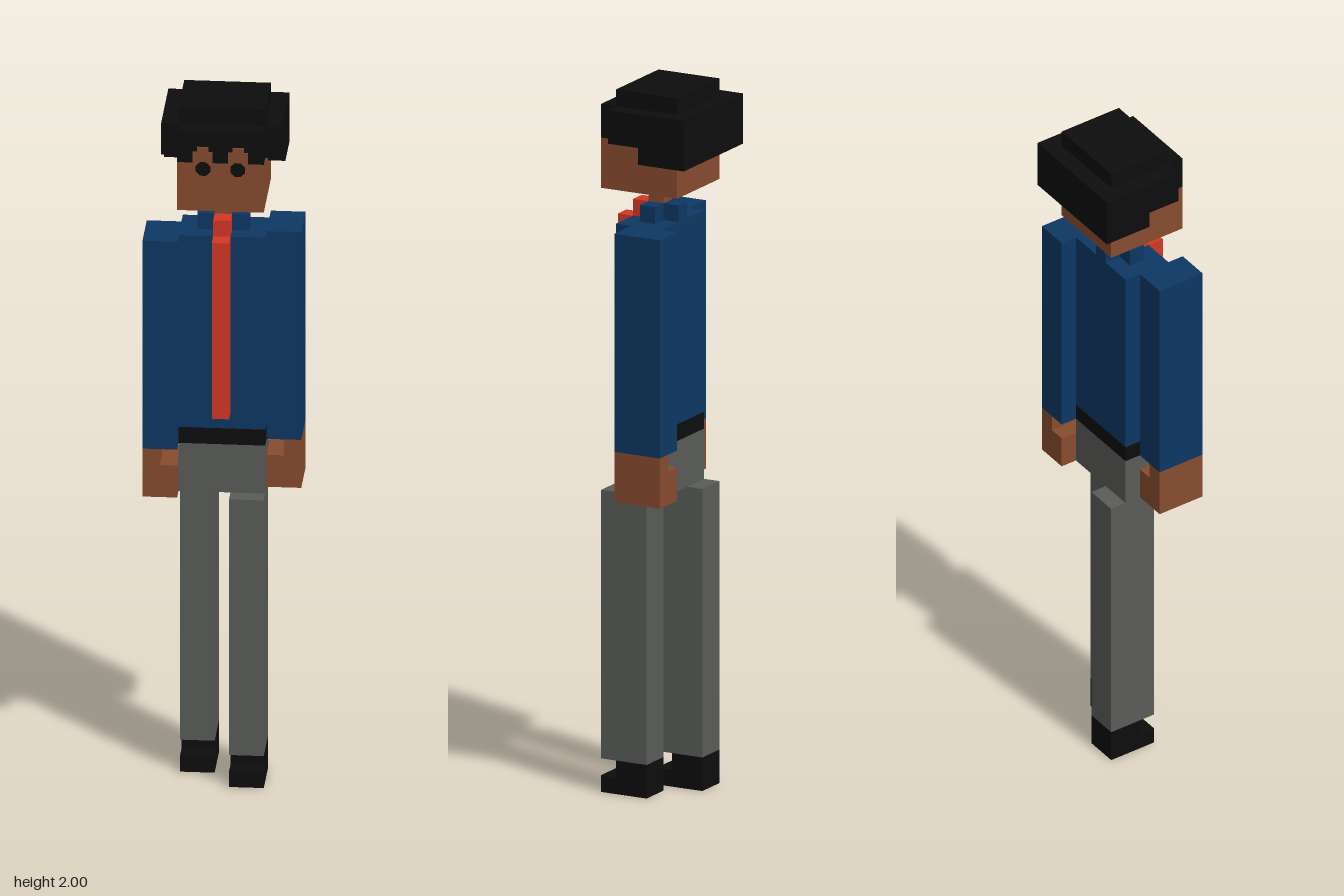
import * as THREE from 'three';

const U = 1 / 21; // one block of the grid

const material = (name, color) => {
  const m = new THREE.MeshStandardMaterial({ color });
  m.name = name;
  return m;
};

export function createModel() {
  const model = new THREE.Group();
  model.name = 'blockMan';

  const skin = material('skinBrown', 0x874c2f);
  const blue = material('shirtBlue', 0x0d3763);
  const red = material('tieRed', 0xd33725);
  const grey = material('trouserGrey', 0x5a5c59);
  const black = material('hairBlack', 0x0d0d0d);

  // Box between two corners, given in blocks
  const block = (name, mat, x0, x1, y0, y1, z0, z1, parent = model) => {
    const mesh = new THREE.Mesh(
      new THREE.BoxGeometry((x1 - x0) * U, (y1 - y0) * U, (z1 - z0) * U), mat);
    mesh.position.set((x0 + x1) / 2 * U, (y0 + y1) / 2 * U, (z0 + z1) / 2 * U);
    mesh.name = name;
    parent.add(mesh);
  };
  // Same, with x measured outwards on the given side
  const sided = (s, name, mat, a, b, ...rest) =>
    block(name, mat, Math.min(s * a, s * b), Math.max(s * a, s * b), ...rest);

  // Torso, belt and tie
  block('hips', grey, -2.5, 2.5, 18, 21, -1, 2);
  block('belt', black, -2.5, 2.5, 21, 22, -1, 2);
  block('torso', blue, -2.5, 2.5, 22, 34, -1, 2);
  block('tie', red, -0.5, 0.5, 23, 34, 2, 3);
  block('tieKnot', red, -0.5, 0.5, 34, 35, 1, 2);
  block('collarBack', blue, -0.5, 0.5, 34, 35, -1, 0);
  block('neck', skin, -0.5, 0.5, 34, 36, 0, 1);

  // Limbs in a walking pose: the left arm swings back, the left leg forward
  for (const s of [1, -1]) {
    const side = s > 0 ? 'left' : 'right';
    sided(s, side + 'Collar', blue, 0.5, 1.5, 34, 35, 0, 1);

    const armZ = s > 0 ? -2 : 0;
    const arm = new THREE.Group();
    arm.name = side + 'Arm';
    sided(s, 'sleeve', blue, 2.5, 4.5, 21, 34, armZ, armZ + 3, arm);
    sided(s, 'hand', skin, 3.5, 4.5, 18, 21, armZ, armZ + 3, arm);
    sided(s, 'fingers', skin, 2.5, 3.5, 18, 20, armZ, armZ + 3, arm);

    const legZ = s > 0 ? 0 : -2;
    const leg = new THREE.Group();
    leg.name = side + 'Leg';
    sided(s, 'trouserLeg', grey, 0.5, 2.5, 2, 18, legZ, legZ + 3, leg);
    sided(s, 'shoeSole', black, 0.5, 2.5, 0, 1, legZ, legZ + 3, leg);
    sided(s, 'shoeUpper', black, 0.5, 2.5, 1, 2, legZ, legZ + 2, leg);
    model.add(arm, leg);
  }

  // Head and hair
  const head = new THREE.Group();
  head.name = 'head';
  model.add(head);
  block('face', skin, -2.5, 2.5, 36, 39, -2, 3, head);
  block('hairFringe', black, -2.5, 2.5, 39, 41, 2, 3, head);
  block('hairSides', black, -3.5, 3.5, 39, 41, 0, 2, head);
  block('hairBack', black, -3.5, 3.5, 38, 41, -3, 0, head);
  block('hairTop', black, -2.5, 2.5, 41, 42, -2, 2, head);

  // Thin face details: stepped gaps in the fringe and eyes
  for (const s of [1, -1]) {
    sided(s, 'fringeGap', skin, 0.45, 1.6, 39, 39.7, 3, 3.06, head);
    sided(s, 'fringeGapTop', skin, 0.7, 1.35, 39.7, 40, 3, 3.06, head);
    const eye = new THREE.Mesh(new THREE.CircleGeometry(0.46 * U, 8, Math.PI / 8), black);
    eye.name = 'eye';
    eye.position.set(s * U, 38.65 * U, 3.08 * U);
    head.add(eye);
  }

  return model;
}
